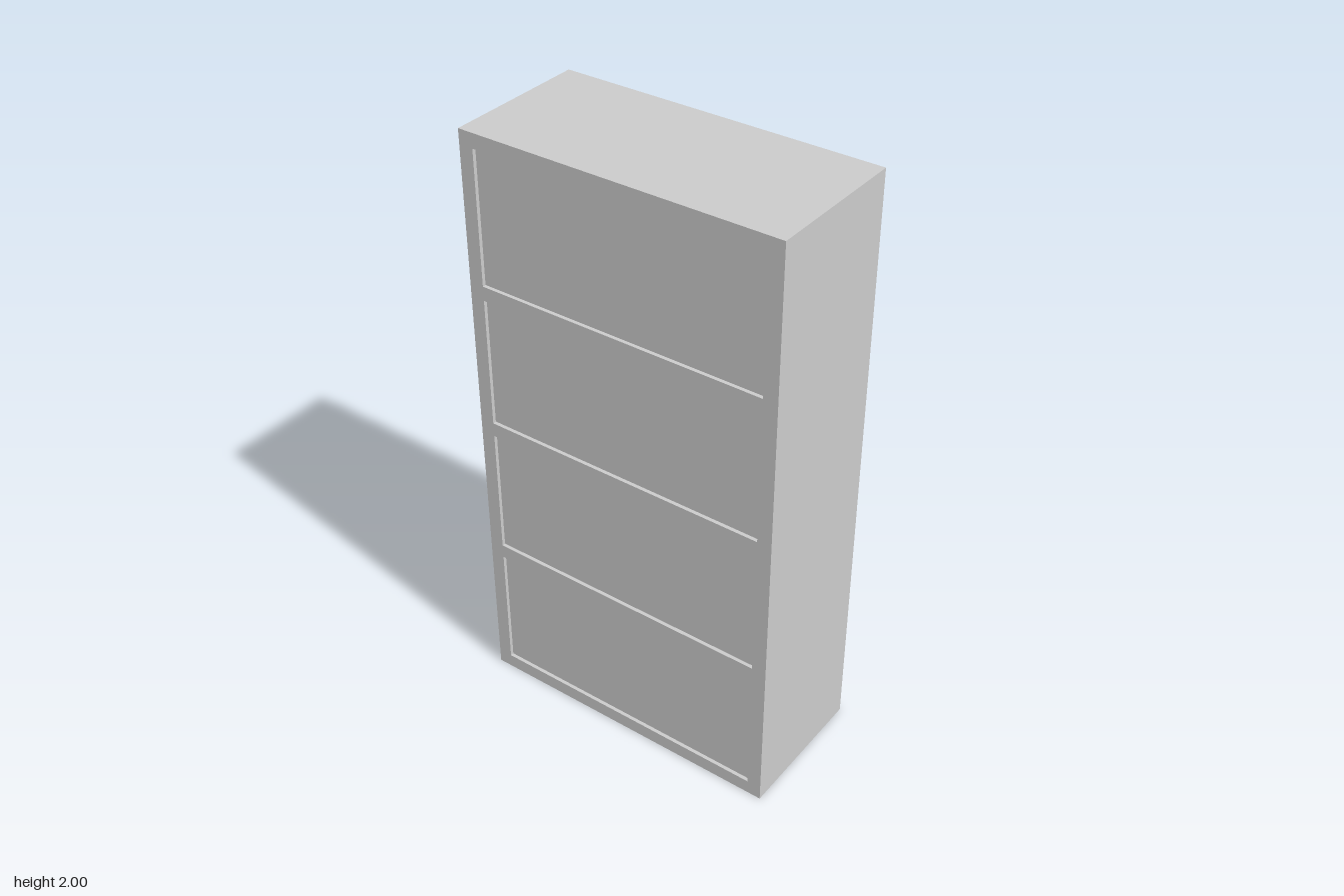
import * as THREE from 'three';

const W = 1.07, H = 2;                    // cabinet width (along z) and height
const BACK = -0.248, FACE = 0.237;        // cabinet extent along x
const RECESS = 0.012, DOOR = 0.011;       // recess depth and door thickness

const material = new THREE.MeshStandardMaterial({ color: 0xcccccc });

// Rectangle centred on u = cu, from v0 to v1, with optional rounded corners
function rect(path, cu, w, v0, v1, r = 0) {
  const a = cu - w / 2, b = cu + w / 2;
  path.moveTo(a + r, v0);
  path.lineTo(b - r, v0);
  if (r) path.quadraticCurveTo(b, v0, b, v0 + r);
  path.lineTo(b, v1 - r);
  if (r) path.quadraticCurveTo(b, v1, b - r, v1);
  path.lineTo(a + r, v1);
  if (r) path.quadraticCurveTo(a, v1, a, v1 - r);
  path.lineTo(a, v0 + r);
  if (r) path.quadraticCurveTo(a, v0, a + r, v0);
  path.closePath();
  return path;
}

// Flat sheet in the y-z plane, starting at x and growing toward +x
function sheet(name, shape, x, depth) {
  const geo = new THREE.ExtrudeGeometry(shape, { depth, bevelEnabled: false, curveSegments: 4 });
  geo.rotateY(Math.PI / 2);
  const mesh = new THREE.Mesh(geo, material);
  mesh.name = name;
  mesh.position.x = x;
  return mesh;
}

export function createModel() {
  const group = new THREE.Group();
  group.name = 'cabinet';

  // Main carcass
  const depth = FACE - BACK - RECESS;
  const body = new THREE.Mesh(new THREE.BoxGeometry(depth, H, W), material);
  body.name = 'body';
  body.position.set(FACE - depth / 2, H / 2, 0);
  group.add(body);

  // Back frame with four recessed bays
  const bar = 0.048, bay = (H - 5 * bar) / 4;
  const back = rect(new THREE.Shape(), 0, W, 0, H);
  for (let i = 0; i < 4; i++) {
    const v = bar + i * (bay + bar);
    back.holes.push(rect(new THREE.Path(), 0, W - 2 * bar, v, v + bay));
  }
  group.add(sheet('backFrame', back, BACK, RECESS));

  // Raised door front with two sunken, round-cornered panels
  const door = rect(new THREE.Shape(), 0, 0.972, 0.025, 1.98);
  for (const side of [-1, 1]) {
    door.holes.push(rect(new THREE.Path(), side * 0.238, 0.315, 0.115, 1.885, 0.03));
  }
  group.add(sheet('doorFront', door, FACE, DOOR));

  return group;
}
